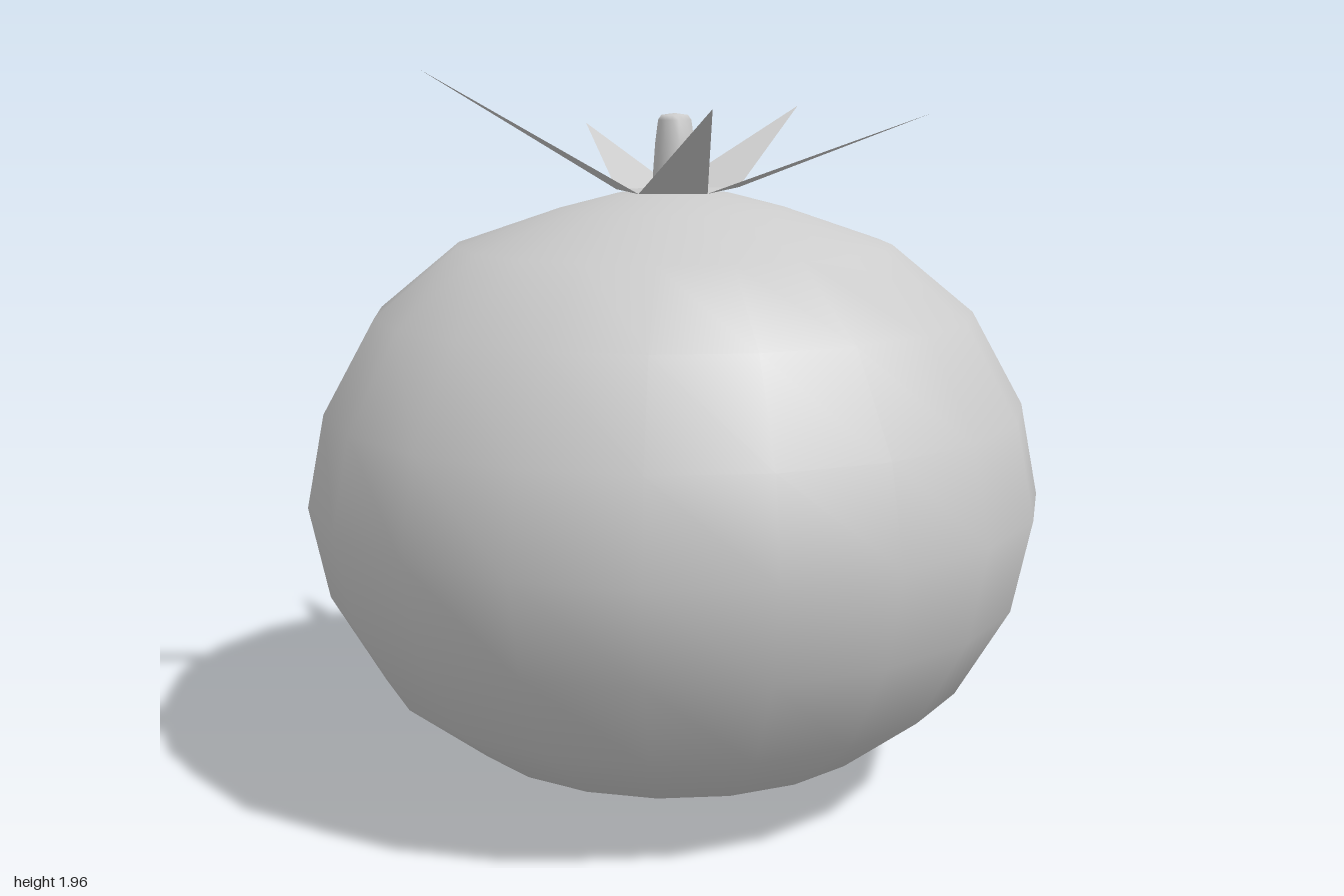
import * as THREE from 'three';

const material = new THREE.MeshStandardMaterial({ color: 0xcccccc });
const leafMaterial = new THREE.MeshStandardMaterial({ color: 0xcccccc, side: THREE.DoubleSide });

// Revolve [radius, height] pairs, listed from bottom to top
function lathe(name, profile, sides) {
  const points = profile.map(([r, y]) => new THREE.Vector2(r, y));
  const mesh = new THREE.Mesh(new THREE.LatheGeometry(points, sides), material);
  mesh.name = name;
  return mesh;
}

// Five pointed leaves around a small flat centre, counter-clockwise from above
function makeLeaves() {
  const tips = [[-0.67, 1.96, -0.02], [-0.05, 1.865, 0.58], [0.58, 1.85, 0.38], [0.53, 1.86, -0.56], [-0.11, 1.81, -0.66]];
  const valleys = [[-0.13, 1.64, -0.13], [-0.12, 1.64, 0.1], [0.06, 1.64, 0.13], [0.2, 1.645, -0.06], [0.05, 1.64, -0.21]];
  const centre = [0, 1.65, 0.01];
  const positions = [];
  tips.forEach((tip, i) => {
    const a = valleys[i], b = valleys[(i + 1) % tips.length];
    positions.push(...centre, ...a, ...b, ...a, ...tip, ...b);
  });
  const geometry = new THREE.BufferGeometry();
  geometry.setAttribute('position', new THREE.Float32BufferAttribute(positions, 3));
  geometry.computeVertexNormals();
  const mesh = new THREE.Mesh(geometry, leafMaterial);
  mesh.name = 'leaves';
  return mesh;
}

export function createModel() {
  const group = new THREE.Group();
  group.name = 'tomato';

  // Squashed round fruit
  group.add(lathe('fruit', [
    [0, 0.005], [0.155, 0.02], [0.31, 0.062], [0.59, 0.15], [0.81, 0.325], [0.95, 0.57], [1, 0.82],
    [0.95, 1.07], [0.81, 1.32], [0.59, 1.5], [0.31, 1.595], [0.155, 1.635], [0, 1.645],
  ], 20));

  group.add(makeLeaves());

  // Short tapered stem with a rounded top
  const stem = lathe('stem', [
    [0.058, 1.62], [0.059, 1.69], [0.053, 1.77], [0.045, 1.83], [0.036, 1.843], [0, 1.848],
  ], 16);
  stem.position.z = 0.012;
  group.add(stem);

  return group;
}
